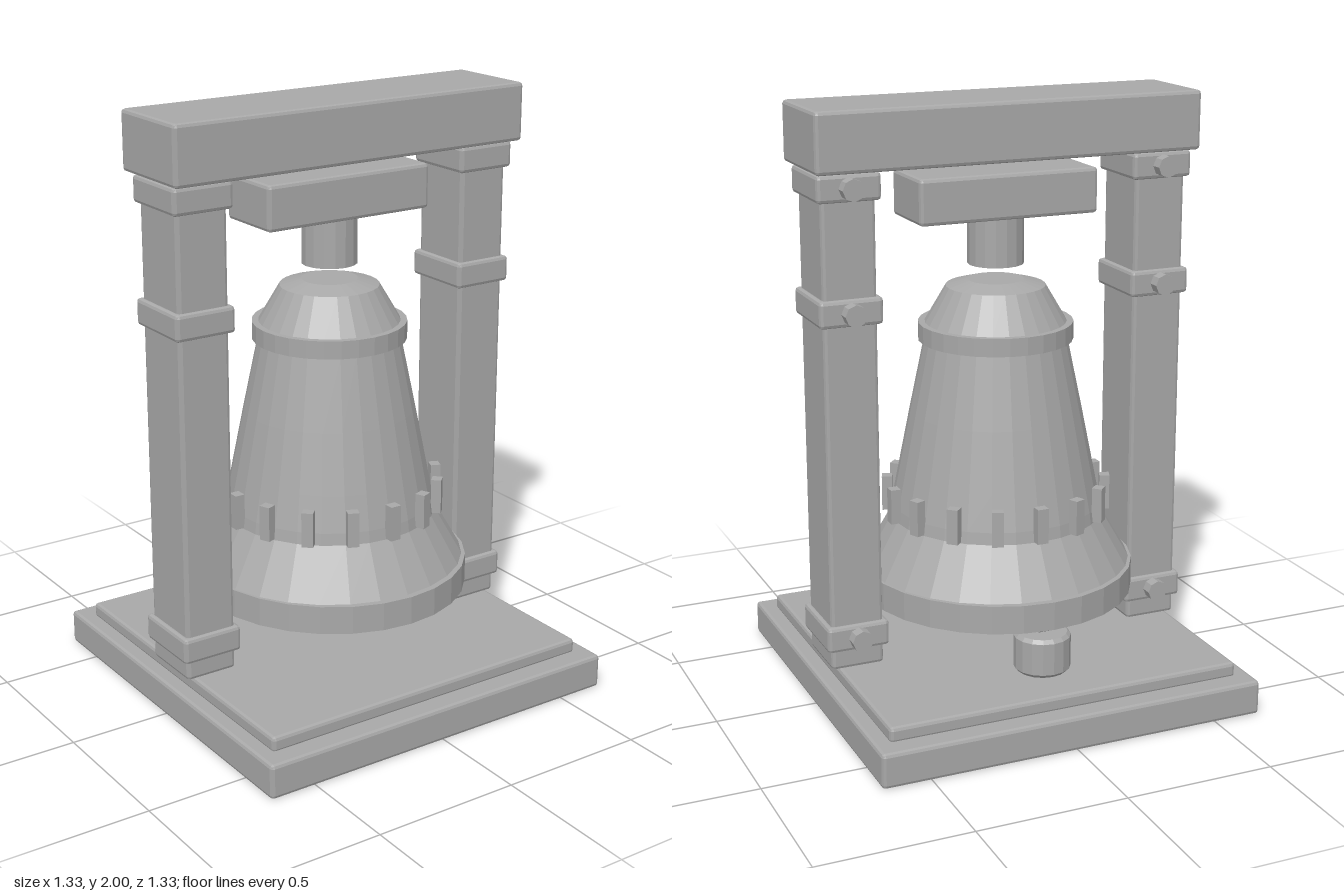
import * as THREE from 'three';
import { RoundedBoxGeometry } from 'three/addons/geometries/RoundedBoxGeometry.js';

export function createModel() {
  const model = new THREE.Group();
  model.name = 'bellFrame';
  const grey = new THREE.MeshStandardMaterial({ color: 0xa8a8a8, flatShading: true, side: THREE.DoubleSide });
  grey.name = 'stoneGrey';

  const add = (name, geometry, x = 0, y = 0, z = 0, parent = model) => {
    const mesh = new THREE.Mesh(geometry, grey);
    mesh.name = name;
    mesh.position.set(x, y, z);
    parent.add(mesh);
    return mesh;
  };
  // Bevelled block standing between heights y0 and y1
  const block = (name, w, y0, y1, d, x = 0, parent = model, r = 0.012) =>
    add(name, new RoundedBoxGeometry(w, y1 - y0, d, 1, r), x, (y0 + y1) / 2, 0, parent);
  const lathe = (points, sides) =>
    new THREE.LatheGeometry(points.map(([r, y]) => new THREE.Vector2(r, y)), sides);

  // Stepped base and top beam
  block('base', 1.326, 0, 0.117, 1.326);
  block('baseStep', 1.22, 0.11, 0.163, 1.18);
  block('topBeam', 1.324, 1.805, 2, 0.328);

  // Posts with three clamps, each bolted at the back
  for (const side of [-1, 1]) {
    const post = new THREE.Group();
    post.name = side > 0 ? 'leftPost' : 'rightPost';
    post.position.x = side * 0.543;
    model.add(post);
    block('postShaft', 0.18, 0.16, 1.81, 0.226, 0, post);
    for (const y of [0.27, 1.362, 1.756]) {
      block('clamp', 0.212, y - 0.044, y + 0.044, 0.256, 0, post);
      const bolt = add('bolt', new THREE.CylinderGeometry(0.036, 0.036, 0.05, 8), 0, y, -0.143, post);
      bolt.rotation.x = Math.PI / 2;
    }
  }

  // Headstock and its short neck
  block('headstock', 0.62, 1.615, 1.765, 0.245);
  add('neck', new THREE.CylinderGeometry(0.093, 0.093, 0.175, 16), 0, 1.54, 0);

  // Hollow bell: outside wall down, then inside wall back up
  add('bellBody', lathe([
    [0, 0.37], [0, 1.36], [0.12, 1.34], [0.2, 1.2], [0.3, 0.64], [0.42, 0.345],
    [0.452, 0.36], [0.452, 0.435], [0.357, 0.6], [0.352, 0.64], [0.328, 0.76], [0.288, 0.96],
    [0.238, 1.2], [0.235, 1.26], [0.165, 1.38], [0.093, 1.4], [0, 1.4],
  ].slice(1).reverse(), 28));
  add('shoulderBand', lathe([
    [0.23, 1.2], [0.257, 1.2], [0.257, 1.26], [0.23, 1.26],
  ], 28));
  const rim = add('rim', lathe([
    [0.41, 0.34], [0.474, 0.34], [0.474, 0.435], [0.44, 0.435],
  ], 28));
  rim.scale.x = 0.97;

  // Ring of studs around the waist
  for (let i = 0; i < 16; i++) {
    const a = (i / 16) * Math.PI * 2;
    const stud = add('stud', new THREE.BoxGeometry(0.038, 0.118, 0.034),
      Math.sin(a) * 0.367, 0.662, Math.cos(a) * 0.367);
    stud.rotation.y = a;
  }

  // Clapper swung to the back on a slanted rod
  const from = new THREE.Vector3(0, 0.52, 0.01);
  const to = new THREE.Vector3(0, 0.28, -0.38);
  const rod = add('clapperRod', new THREE.CylinderGeometry(0.034, 0.034, from.distanceTo(to), 10));
  rod.position.copy(from).add(to).multiplyScalar(0.5);
  rod.quaternion.setFromUnitVectors(new THREE.Vector3(0, 1, 0), from.clone().sub(to).normalize());
  add('clapper', lathe([
    [0, 0.17], [0.083, 0.17], [0.094, 0.182], [0.094, 0.29], [0.083, 0.302], [0, 0.302],
  ], 16), 0, 0, -0.38);

  return model;
}
